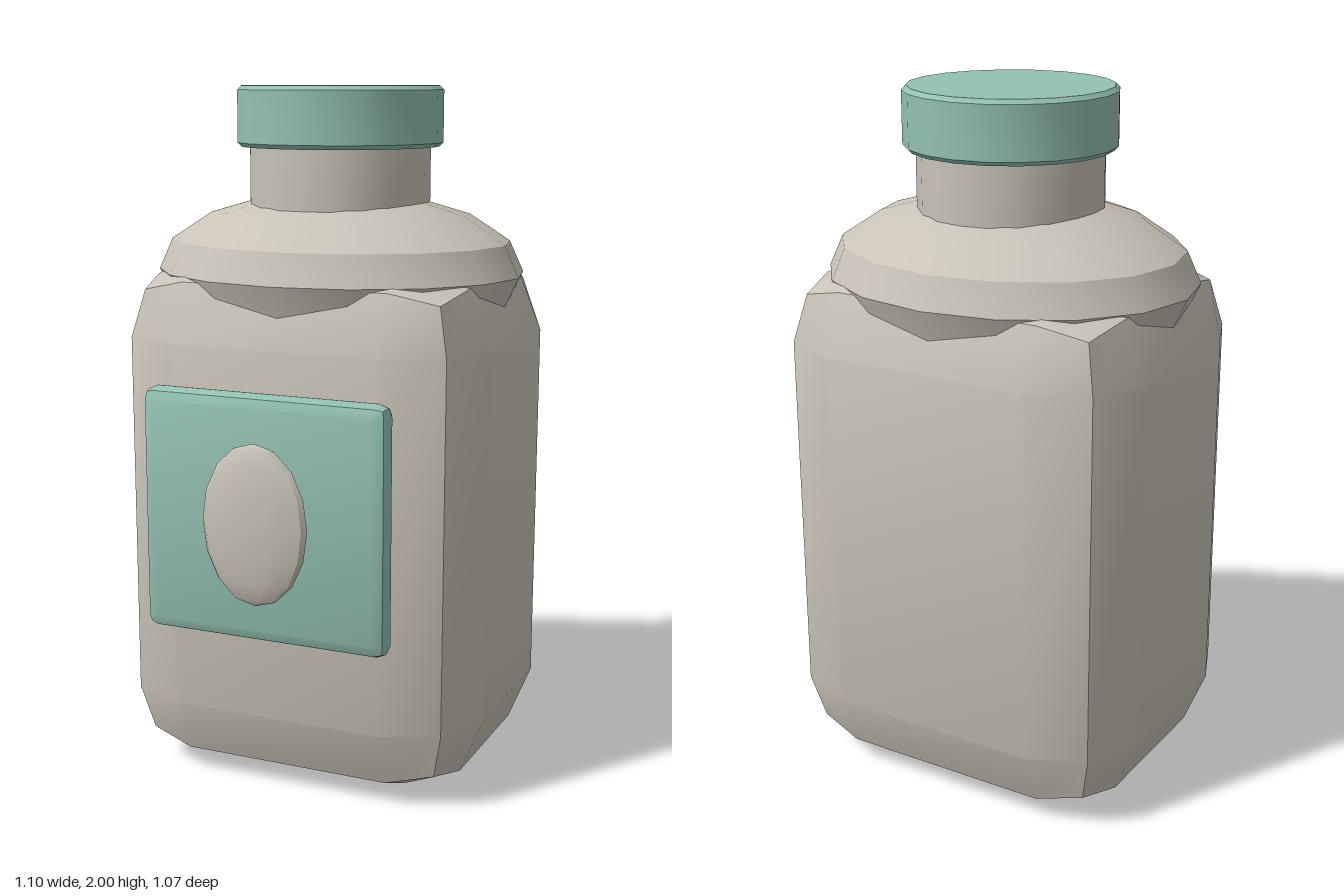
import * as THREE from 'three';
import { toCreasedNormals } from 'three/addons/utils/BufferGeometryUtils.js';
import { RoundedBoxGeometry } from 'three/addons/geometries/RoundedBoxGeometry.js';

const CREASE = 0.5; // soft below about 29 degrees, sharp above

export function createModel() {
  const model = new THREE.Group();
  model.name = 'bottle';

  const stone = new THREE.MeshStandardMaterial({ color: 0xc9c3b8 });
  stone.name = 'warm grey';
  const teal = new THREE.MeshStandardMaterial({ color: 0x93c1b2 });
  teal.name = 'soft teal';

  const AXIS_Z = -0.077; // the bottle sits behind its raised label

  function add(name, geometry, material, x, y, z) {
    const mesh = new THREE.Mesh(toCreasedNormals(geometry, CREASE), material);
    mesh.name = name;
    mesh.position.set(x, y, z);
    model.add(mesh);
  }

  const ellipsoid = (rx, ry, rz) =>
    new THREE.SphereGeometry(1, 16, 8).scale(rx, ry, rz);

  // Chamfered cylinder standing on its own base
  function chamferedDisc(radius, height, bevel) {
    const profile = [
      [0, 0], [radius - bevel, 0], [radius, bevel],
      [radius, height - bevel], [radius - bevel, height], [0, height],
    ].map(([x, y]) => new THREE.Vector2(x, y));
    return new THREE.LatheGeometry(profile, 20);
  }

  // Bottle body, shoulder, neck and lid
  add('body', new RoundedBoxGeometry(1.096, 1.53, 0.922, 1, 0.235), stone, 0, 0.765, AXIS_Z);
  add('shoulder', ellipsoid(0.548, 0.235, 0.46), stone, 0, 1.47, AXIS_Z);
  add('neck', new THREE.CylinderGeometry(0.263, 0.263, 0.26, 20), stone, 0, 1.72, AXIS_Z);
  add('lid', chamferedDisc(0.299, 0.172, 0.012), teal, 0, 1.828, AXIS_Z);

  // Raised label with an oval emblem
  add('label', new RoundedBoxGeometry(0.738, 0.7, 0.08, 1, 0.036), teal, 0, 0.835, 0.424);
  add('labelOval', ellipsoid(0.158, 0.228, 0.036), stone, 0, 0.835, 0.497);

  return model;
}
